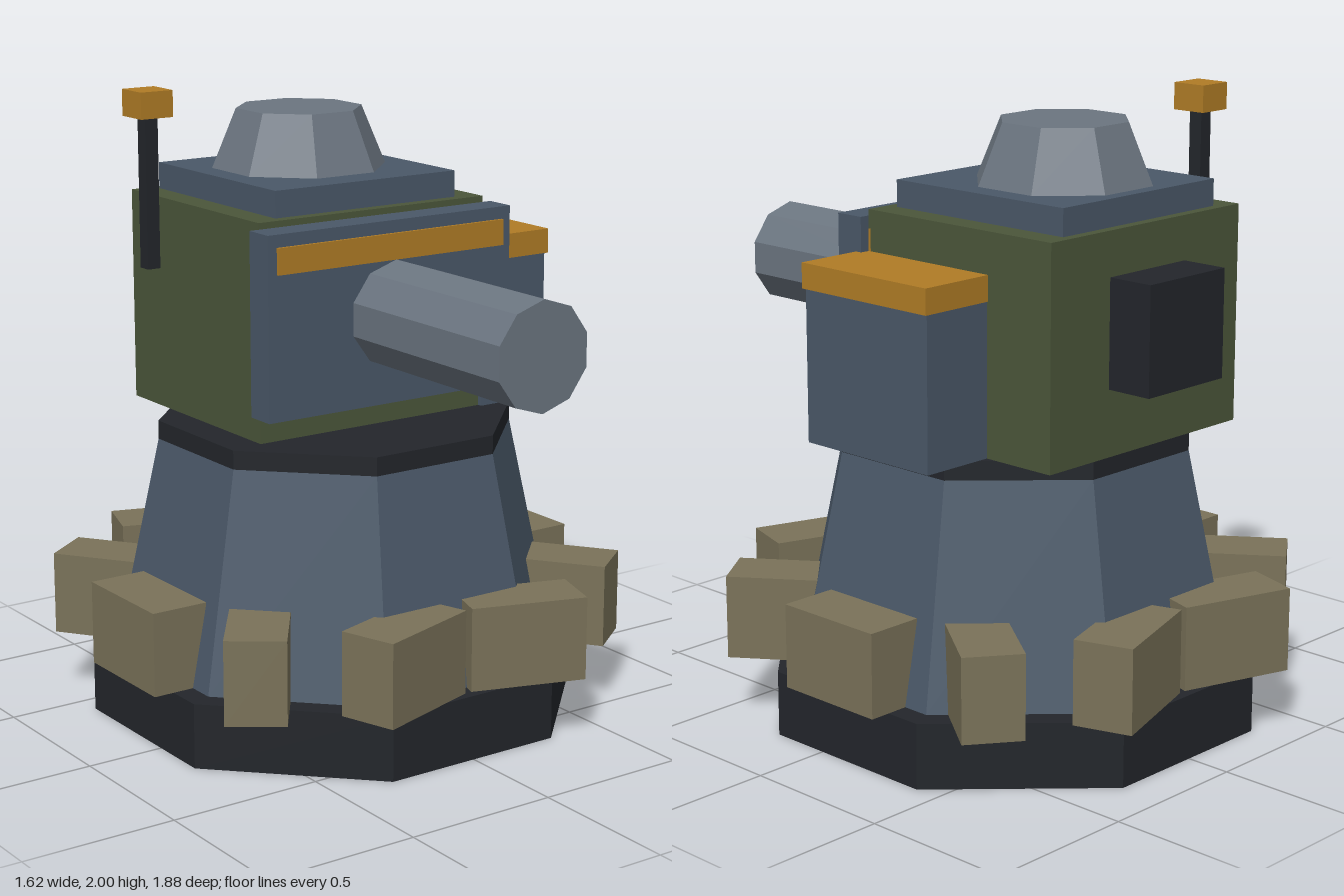
import * as THREE from 'three';

const paint = (color) => new THREE.MeshStandardMaterial({ color, flatShading: true });

export function createModel() {
  const model = new THREE.Group();
  const steel = paint(0x4a5868), dark = paint(0x23262b), sand = paint(0x7a7259);
  const gold = paint(0xb07c26), green = paint(0x4b563a), metal = paint(0x6b7580);

  const add = (name, geometry, material, x, y, z) => {
    const mesh = new THREE.Mesh(geometry, material);
    mesh.name = name;
    mesh.position.set(x, y, z);
    model.add(mesh);
    return mesh;
  };
  // Box given by its extents on each axis
  const box = (name, material, [x0, x1], [y0, y1], [z0, z1]) =>
    add(name, new THREE.BoxGeometry(x1 - x0, y1 - y0, z1 - z0), material,
      (x0 + x1) / 2, (y0 + y1) / 2, (z0 + z1) / 2);
  // Upright octagonal frustum with flat sides on the axes, sized by half width
  const octagon = (name, material, top, bottom, y0, y1, z) => {
    const k = 1 / Math.cos(Math.PI / 8);
    const g = new THREE.CylinderGeometry(top * k, bottom * k, y1 - y0, 8).rotateY(Math.PI / 8);
    return add(name, g, material, 0, (y0 + y1) / 2, z);
  };

  // Pedestal
  const cz = -0.107;
  octagon('base', dark, 0.745, 0.745, 0, 0.21, cz);
  octagon('pedestal', steel, 0.537, 0.675, 0.21, 0.9, cz);
  octagon('turretRing', dark, 0.537, 0.537, 0.9, 0.96, cz);

  // Ring of ten sandbags, each turned against the ring direction
  for (let i = 0; i < 10; i++) {
    const a = (i * Math.PI) / 5;
    const bag = add('sandbag', new THREE.BoxGeometry(0.19, 0.27, 0.38), sand,
      0.717 * Math.cos(a), 0.345, cz + 0.717 * Math.sin(a));
    bag.rotation.y = a;
  }

  // Turret housing
  box('turretBody', green, [-0.427, 0.427], [0.96, 1.65], [-0.655, 0.1]);
  box('roofPlate', steel, [-0.342, 0.342], [1.65, 1.735], [-0.623, 0.063]);
  octagon('cupola', metal, 0.19, 0.263, 1.735, 1.925, -0.315);
  box('frontPlate', steel, [-0.46, 0.46], [1.05, 1.63], [0.1, 0.2]);
  box('frontStripe', gold, [-0.428, 0.428], [1.507, 1.59], [0.092, 0.21]);
  box('rearBox', dark, [-0.17, 0.17], [1.17, 1.51], [-0.81, -0.655]);

  // Ten-sided gun barrel
  const barrel = new THREE.CylinderGeometry(0.17, 0.17, 0.72, 10).rotateX(Math.PI / 2);
  add('barrel', barrel, metal, 0, 1.34, 0.58);

  // Ammunition box on the left flank
  box('ammoBox', steel, [0.42, 0.675], [0.96, 1.44], [-0.4, 0.115]);
  box('ammoLid', gold, [0.42, 0.684], [1.44, 1.52], [-0.405, 0.122]);

  // Antenna
  box('antennaPole', dark, [-0.506, -0.46], [1.43, 1.92], [-0.473, -0.427]);
  box('antennaTip', gold, [-0.54, -0.424], [1.915, 2], [-0.508, -0.392]);

  return model;
}
